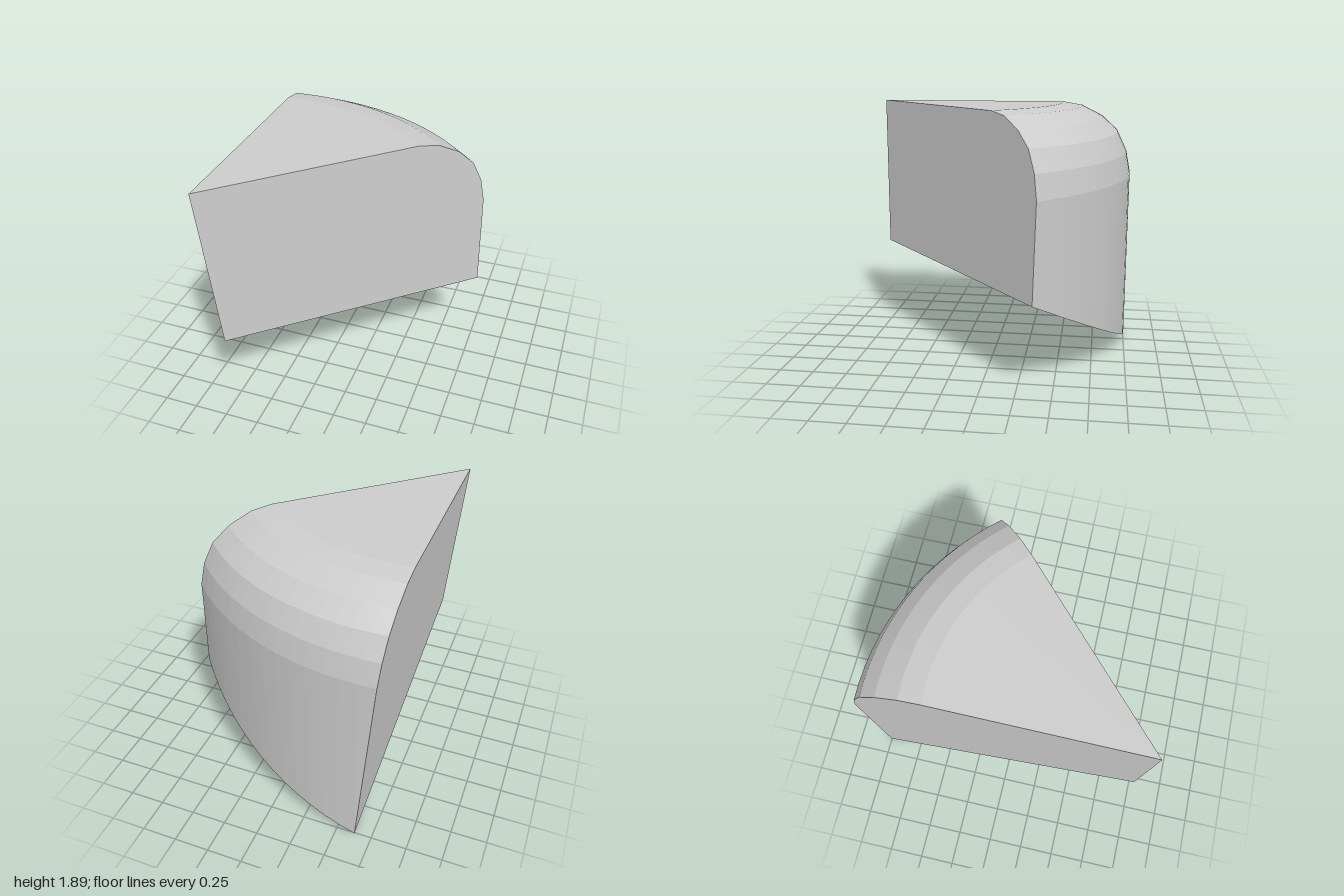
import * as THREE from 'three';

export function createModel() {
  const group = new THREE.Group();
  const grey = new THREE.MeshStandardMaterial({ color: 0xcccccc, flatShading: true });
  const V = (x, y, z) => new THREE.Vector3(x, y, z);

  // Main corners of the wedge
  const tipTop = V(-0.78, 1.885, 1), tipBottom = V(-0.69, 0.715, 0.975);
  const backFoot = V(-0.63, 0, -1), sideFoot = V(0.78, 0.66, -0.37);
  const plane = (a, b, c) => new THREE.Plane().setFromCoplanarPoints(a, b, c);
  const leftPlane = plane(tipTop, tipBottom, backFoot);
  const frontPlane = plane(tipTop, tipBottom, sideFoot);
  const basePlane = plane(tipBottom, backFoot, sideFoot);

  // The outer wall is a rounded profile swept around a vertical axis
  const cx = -0.64, cz = 0.89, segments = 14, wallRadius = 1.895;
  const profile = [[1.36, 1.885], [1.51, 1.86], [1.67, 1.78], [1.79, 1.67], [1.862, 1.52], [wallRadius, 1.35]];
  const onWall = (r, y, t) => V(cx + r * Math.sin(t), y, cz - r * Math.cos(t));

  // Sweep angle at which the circle (r, y) meets a cutting plane
  const cutAngle = (p, r, y) => {
    const n = p.normal;
    const k = -(p.constant + n.x * cx + n.y * y + n.z * cz) / r;
    const length = Math.hypot(n.x, n.z), sign = n.x < 0 ? -1 : 1;
    return Math.asin(sign * k / length) + Math.atan(n.z / n.x);
  };
  const sweep = (start, end, pointAt) => Array.from({ length: segments + 1 },
    (_, i) => pointAt(start + (end - start) * i / segments));

  const rows = profile.map(([r, y]) =>
    sweep(cutAngle(leftPlane, r, y), cutAngle(frontPlane, r, y), (t) => onWall(r, y, t)));

  // Last row follows the slanted base
  const footAngle = (p) => Math.atan2(p.x - cx, cz - p.z);
  rows.push(sweep(footAngle(backFoot), footAngle(sideFoot), (t) => {
    const p = onWall(wallRadius, 0, t), n = basePlane.normal;
    p.y = -(basePlane.constant + n.x * p.x + n.z * p.z) / n.y;
    return p;
  }));

  const addPart = (name, points) => {
    const geometry = new THREE.BufferGeometry().setFromPoints(points);
    geometry.computeVertexNormals();
    const mesh = new THREE.Mesh(geometry, grey);
    mesh.name = name;
    group.add(mesh);
  };
  const fan = (hub, rim) => rim.slice(1).flatMap((p, i) => [hub, rim[i], p]);

  // Curved outer wall and rounded shoulder
  const wall = [];
  for (let j = 0; j < rows.length - 1; j++) {
    const u = rows[j], l = rows[j + 1];
    for (let i = 0; i < segments; i++) {
      wall.push(u[i + 1], l[i + 1], l[i], u[i + 1], l[i], u[i]);
    }
  }
  addPart('outerWall', wall);

  // Flat faces
  const foot = rows[rows.length - 1];
  addPart('topFace', fan(tipTop, [...rows[0]].reverse()));
  addPart('baseFace', fan(tipBottom, foot));
  addPart('leftFace', fan(tipBottom, [tipTop, ...rows.map((r) => r[0])]));
  addPart('frontFace', fan(tipBottom, [tipTop, ...rows.map((r) => r[segments])].reverse()));

  return group;
}
